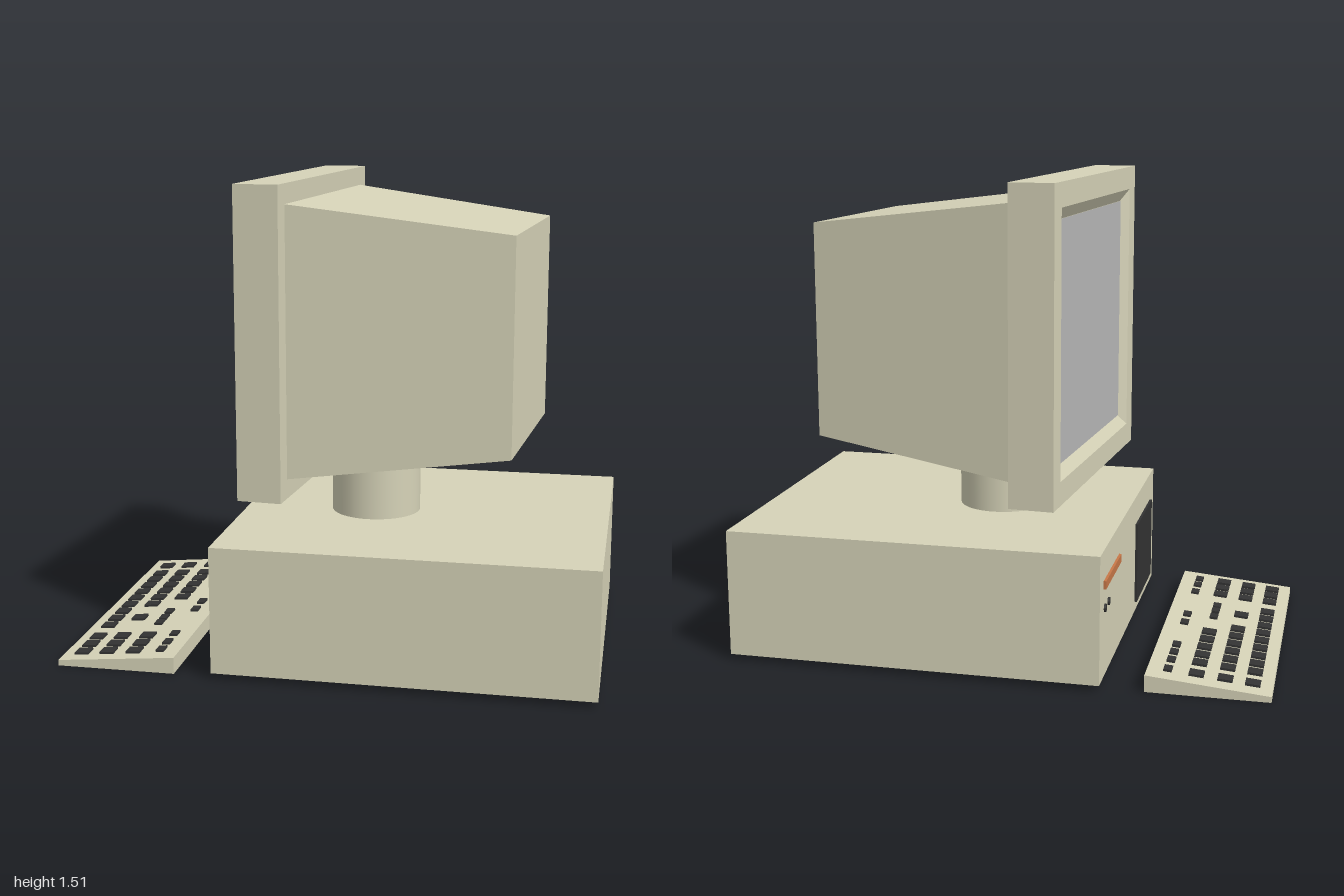
import * as THREE from 'three';

const beige = new THREE.MeshStandardMaterial({ color: 0xd6d3b8 });
const dark = new THREE.MeshStandardMaterial({ color: 0x333333 });
const orange = new THREE.MeshStandardMaterial({ color: 0xc87848 });
const grey = new THREE.MeshStandardMaterial({ color: 0xb8b8b8 });

function add(parent, name, geometry, material, x = 0, y = 0, z = 0) {
  const mesh = new THREE.Mesh(geometry, material);
  mesh.name = name;
  mesh.position.set(x, y, z);
  parent.add(mesh);
  return mesh;
}

function addGroup(parent, name, x, y, z, degrees) {
  const group = new THREE.Group();
  group.name = name;
  group.position.set(x, y, z);
  group.rotation.y = THREE.MathUtils.degToRad(degrees);
  parent.add(group);
  return group;
}

// Flat-sided loft through rectangles [halfWidth, halfHeight, z], ordered from the back, with end caps
function rectLoft(loops) {
  const rings = loops.map(([w, h, z]) => [[-w, -h, z], [w, -h, z], [w, h, z], [-w, h, z]]);
  const pos = [];
  const quad = (a, b, c, d) => pos.push(...a, ...b, ...c, ...a, ...c, ...d);
  for (let i = 0; i < rings.length - 1; i++) {
    for (let k = 0; k < 4; k++) {
      const n = (k + 1) % 4;
      quad(rings[i][k], rings[i][n], rings[i + 1][n], rings[i + 1][k]);
    }
  }
  const [a, b, c, d] = rings[0];
  quad(d, c, b, a);
  quad(...rings[rings.length - 1]);
  const geometry = new THREE.BufferGeometry();
  geometry.setAttribute('position', new THREE.Float32BufferAttribute(pos, 3));
  geometry.computeVertexNormals();
  return geometry;
}

function buildCase(root) {
  const unit = addGroup(root, 'computerCase', 0.21, 0, -0.118, -60);
  const front = 0.5925;
  add(unit, 'caseBody', new THREE.BoxGeometry(1.085, 0.405, 1.185), beige, 0, 0.2225, 0);
  add(unit, 'drivePanel', new THREE.BoxGeometry(0.325, 0.275, 0.016), dark, 0.3, 0.1925, front);
  add(unit, 'powerSwitch', new THREE.BoxGeometry(0.28, 0.026, 0.016), orange, -0.34, 0.317, front);
  for (const x of [-0.462, -0.4]) {
    const light = new THREE.CylinderGeometry(0.0125, 0.0125, 0.012, 12).rotateX(Math.PI / 2);
    add(unit, 'indicator', light, dark, x, 0.24, front);
  }
}

function buildMonitor(root) {
  add(root, 'monitorStand', new THREE.CylinderGeometry(0.145, 0.145, 0.24, 32), beige, 0.065, 0.54, -0.03);
  const monitor = addGroup(root, 'monitor', -0.172, 1.0325, 0.055, -64.3);
  // Bezel with a shallow chamfered recess in its front
  add(monitor, 'bezel', rectLoft([
    [0.495, 0.4825, -0.07], [0.495, 0.4825, 0.07], [0.42, 0.408, 0.07], [0.38, 0.37, 0.046],
  ]), beige);
  add(monitor, 'screen', new THREE.PlaneGeometry(0.76, 0.74), grey, 0, 0, 0.049);
  add(monitor, 'rearShell', rectLoft([[0.342, 0.3375, -0.75], [0.43, 0.421, -0.069]]), beige);
}

function buildKeyboard(root) {
  const keyboard = addGroup(root, 'keyboard', -0.575, 0, 0.344, -59.7);
  const w = 1.03, d = 0.19, low = 0.018, high = 0.053;

  // Wedge profile, extruded along the width
  const profile = new THREE.Shape([[-d, 0], [d, 0], [d, high], [-d, low]].map(p => new THREE.Vector2(...p)));
  const wedge = new THREE.ExtrudeGeometry(profile, { depth: w, bevelEnabled: false });
  wedge.translate(0, 0, -w / 2).rotateY(Math.PI / 2);
  add(keyboard, 'keyboardBody', wedge, beige);

  // Key rows from front to back: z, key width, key depth, positions
  const pad = [0.313, 0.381, 0.448];
  const run = n => Array.from({ length: n }, (_, i) => -0.347 + i * 0.069);
  const rows = [
    [0.129, 0.046, 0.046, [-0.437, ...run(9), ...pad]],
    [0.046, 0.046, 0.046, [-0.437, ...run(6), 0.136, ...pad]],
    [-0.041, 0.046, 0.046, [-0.437, ...run(5), ...pad]],
    [-0.041, 0.04, 0.026, [0.08, 0.14, 0.19]],
    [-0.128, 0.04, 0.026, [-0.437, -0.36, -0.293, -0.227, -0.016, 0.063, 0.3, 0.377, 0.441]],
  ];
  const tilt = Math.atan2(high - low, 2 * d);
  for (const [z, kw, kd, xs] of rows) {
    const y = low + (high - low) * (d - z) / (2 * d);
    for (const x of xs) {
      add(keyboard, 'key', new THREE.BoxGeometry(kw, 0.014, kd), dark, x, y, z).rotation.x = tilt;
    }
  }
}

export function createModel() {
  const root = new THREE.Group();
  root.name = 'desktopComputer';
  buildCase(root);
  buildMonitor(root);
  buildKeyboard(root);
  return root;
}
